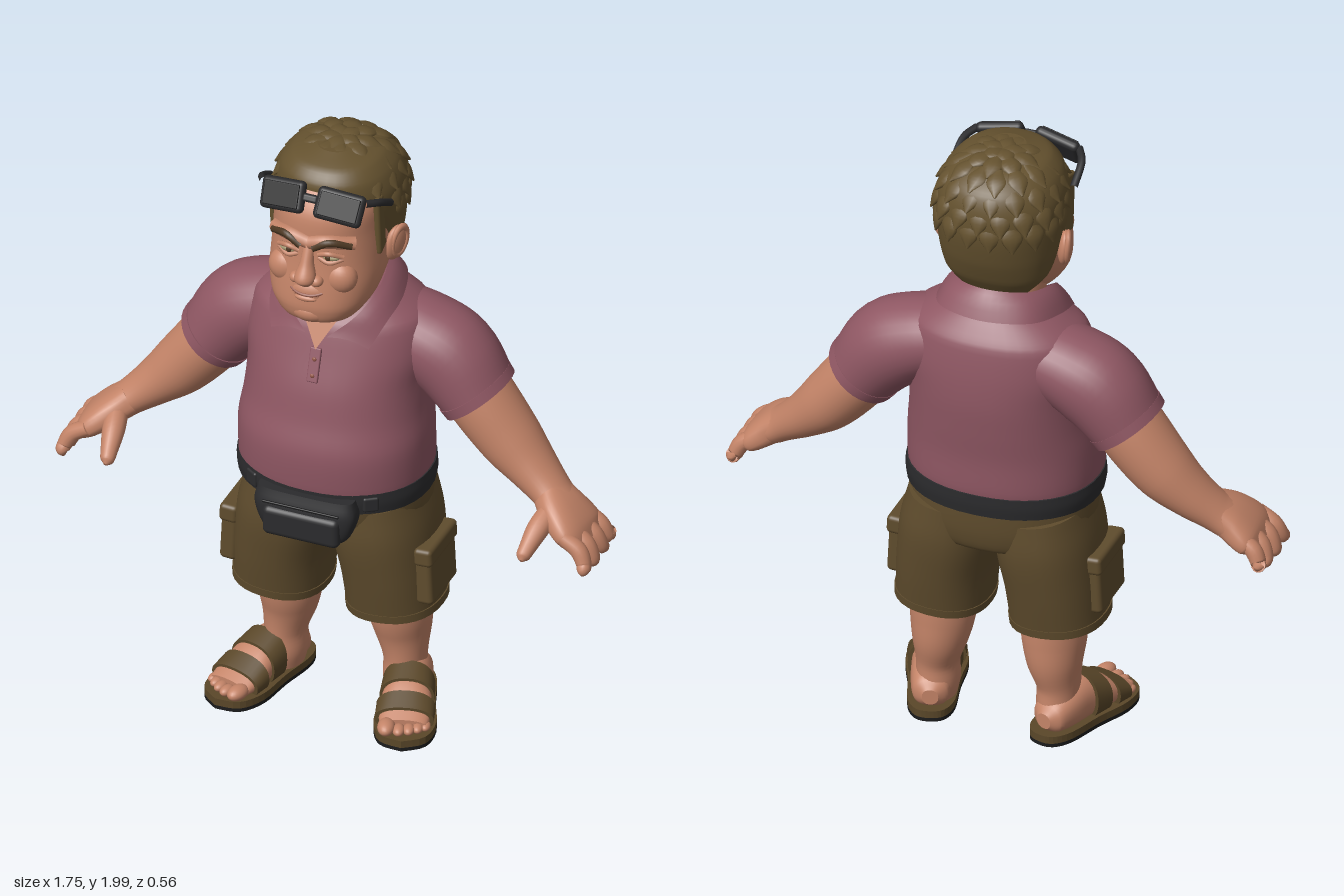
import * as THREE from 'three';
import { mergeGeometries } from 'three/addons/utils/BufferGeometryUtils.js';
import { RoundedBoxGeometry } from 'three/addons/geometries/RoundedBoxGeometry.js';

const X = new THREE.Vector3(1, 0, 0), Y = new THREE.Vector3(0, 1, 0), Z = new THREE.Vector3(0, 0, 1);
const V = (x, y, z) => new THREE.Vector3(x, y, z);

// Smooth closed surface through sections [x, y, z, halfWidth, halfDepth]
function loft(secs, { p = 2, ref = Z, axis = null, n = 32, m = 5 } = {}) {
  const path = new THREE.CatmullRomCurve3(secs.map(s => V(s[0], s[1], s[2])));
  const size = new THREE.CatmullRomCurve3(secs.map((s, i) => V(s[3], s[4], i * 0.05)));
  const rows = (secs.length - 1) * m, pos = [], idx = [], centres = [];
  const pw = v => Math.sign(v) * Math.pow(Math.abs(v), 2 / p);
  for (let i = 0; i <= rows; i++) {
    const t = i / rows, c = path.getPoint(t), r = size.getPoint(t);
    const T = axis || path.getTangent(t);
    const N = T.clone().cross(ref).normalize(), B = N.clone().cross(T);
    centres.push(c);
    for (let j = 0; j < n; j++) {
      const a = j / n * Math.PI * 2;
      const q = c.clone().addScaledVector(N, r.x * pw(Math.cos(a))).addScaledVector(B, r.y * pw(Math.sin(a)));
      pos.push(q.x, q.y, q.z);
    }
  }
  for (let i = 0; i < rows; i++) for (let j = 0; j < n; j++) {
    const a = i * n + j, b = i * n + (j + 1) % n;
    idx.push(a, a + n, b, a + n, b + n, b);
  }
  // flat caps with their own corners keep the rim sharp
  for (const row of [0, rows]) {
    const k = pos.length / 3;
    pos.push(...pos.slice(row * n * 3, (row + 1) * n * 3), ...centres[row].toArray());
    for (let j = 0; j < n; j++) {
      const a = k + j, b = k + (j + 1) % n;
      row ? idx.push(k + n, b, a) : idx.push(k + n, a, b);
    }
  }
  const g = new THREE.BufferGeometry();
  g.setAttribute('position', new THREE.Float32BufferAttribute(pos, 3));
  g.setIndex(idx);
  g.computeVertexNormals();
  return g;
}
const upright = (secs, p = 2.2) => loft(secs.map(([y, z, a, b]) => [0, y, z, a, b]), { p, axis: Y, n: 40 });
const flip = (s, secs) => secs.map(([x, ...rest]) => [x * s, ...rest]);
const tube = (pts, r) => new THREE.TubeGeometry(new THREE.CatmullRomCurve3(pts.map(q => V(...q))), 16, r, 8);
const ball = (rx, ry, rz) => new THREE.SphereGeometry(1, 24, 16).scale(rx, ry, rz);
const box = (w, h, d, r = 0.01) => new RoundedBoxGeometry(w, h, d, 3, r);

export function createModel() {
  const model = new THREE.Group();
  const mat = (name, color, side = THREE.FrontSide) => {
    const m = new THREE.MeshStandardMaterial({ color, side });
    m.name = name;
    return m;
  };
  const skin = mat('skin', 0xc48468), shirt = mat('shirt', 0x8f5763, THREE.DoubleSide);
  const khaki = mat('khaki', 0x5f4c2d), hair = mat('hair', 0x65522f), leather = mat('leather', 0x5a4729);
  const black = mat('black', 0x2b2b2d), dark = mat('dark rubber', 0x1b1b1c);
  const brown = mat('brow brown', 0x4d3823), lip = mat('lip', 0x95594a), eye = mat('eye', 0xa39a72);
  const add = (name, g, m, at = [0, 0, 0], rot = [0, 0, 0], parent = model) => {
    const mesh = new THREE.Mesh(g, m);
    mesh.name = name;
    mesh.position.set(...at);
    mesh.rotation.set(...rot);
    parent.add(mesh);
    return mesh;
  };

  // Torso, belt and pouch
  add('shirtBody', upright([[0.84, -0.01, 0.29, 0.232], [0.88, -0.012, 0.3, 0.25], [1.0, -0.012, 0.3, 0.253],
    [1.1, -0.03, 0.288, 0.245], [1.2, -0.045, 0.284, 0.237], [1.3, -0.06, 0.295, 0.217],
    [1.4, -0.07, 0.275, 0.19], [1.45, -0.075, 0.21, 0.15], [1.49, -0.07, 0.14, 0.12]]), shirt);
  add('belt', upright([[0.81, -0.015, 0.302, 0.248], [0.845, -0.015, 0.307, 0.252], [0.88, -0.015, 0.304, 0.252]]), black);
  add('pouch', upright([[0.7, 0.215, 0.1, 0.03], [0.735, 0.22, 0.14, 0.048], [0.81, 0.22, 0.165, 0.053],
    [0.865, 0.22, 0.155, 0.038]], 3.5), black);
  add('pouchPocket', box(0.25, 0.1, 0.05, 0.02), black, [0, 0.765, 0.258]);
  add('pouchZip', box(0.25, 0.008, 0.008, 0.003), dark, [0, 0.83, 0.273]);
  add('placket', box(0.036, 0.11, 0.012, 0.004), shirt, [0, 1.285, 0.165], [-0.32, 0, 0]);
  for (const y of [1.255, 1.305])
    add('button', ball(0.007, 0.007, 0.004), lip, [0, y, 0.172 - (y - 1.285) * 0.33]);

  // Neck and open neckline
  add('neck', loft([[0, 1.36, -0.04, 0.12, 0.12], [0, 1.45, -0.02, 0.118, 0.125], [0, 1.56, 0, 0.125, 0.12]]), skin);
  const vee = new THREE.BufferGeometry();
  vee.setAttribute('position', new THREE.Float32BufferAttribute(
    [0, 1.335, 0.158, 0.055, 1.43, 0.118, -0.055, 1.43, 0.118], 3));
  vee.computeVertexNormals();
  add('neckline', vee, skin);

  // Collar: a folded band between an upper and a lower edge, running round the back
  const half = [[[0.035, 1.385, 0.152], [0.16, 1.355, 0.122]], [[0.11, 1.45, 0.1], [0.19, 1.42, 0.06]],
    [[0.148, 1.515, 0], [0.2, 1.455, -0.05]], [[0.11, 1.55, -0.13], [0.15, 1.48, -0.185]]];
  const mirrorHalf = half.map(e => e.map(([x, y, z]) => [-x, y, z])).reverse();
  const edges = [...half, [[0, 1.565, -0.18], [0, 1.485, -0.235]], ...mirrorHalf];
  const [upper, lower] = [0, 1].map(k => new THREE.CatmullRomCurve3(edges.map(e => V(...e[k]))));
  const collar = new THREE.PlaneGeometry(1, 1, 48, 4), cp = collar.attributes.position;
  for (let i = 0; i < cp.count; i++) {
    const u = cp.getX(i) + 0.5, v = 0.5 - cp.getY(i);
    const q = upper.getPoint(u).lerp(lower.getPoint(u), v);
    const bulge = 0.012 * Math.sin(v * Math.PI);
    cp.setXYZ(i, q.x * (1 + bulge), q.y + bulge, q.z);
  }
  // the band runs from the model's left round the back, so turn its faces outward
  const ci = collar.index;
  for (let i = 0; i < ci.count; i += 3) {
    const a = ci.getX(i);
    ci.setX(i, ci.getX(i + 1));
    ci.setX(i + 1, a);
  }
  collar.computeVertexNormals();
  add('collar', collar, shirt);

  // Shorts seat
  add('shortsSeat', upright([[0.63, -0.04, 0.1, 0.1], [0.67, -0.04, 0.25, 0.195], [0.73, -0.035, 0.288, 0.217],
    [0.8, -0.03, 0.292, 0.226], [0.85, -0.025, 0.29, 0.23]]), khaki);
  add('fly', box(0.03, 0.1, 0.008, 0.003), khaki, [0, 0.73, 0.18]);

  for (const s of [1, -1]) {
    // Sleeve and arm
    add('sleeve', loft(flip(s, [[0.12, 1.34, -0.1, 0.11, 0.13], [0.25, 1.3, -0.1, 0.13, 0.142],
      [0.34, 1.25, -0.1, 0.14, 0.142], [0.43, 1.14, -0.095, 0.118, 0.132]])), shirt);
    add('sleeveHem', loft(flip(s, [[0.414, 1.16, -0.095, 0.124, 0.137], [0.434, 1.134, -0.095, 0.121, 0.135]])), shirt);
    add('arm', loft(flip(s, [[0.38, 1.2, -0.095, 0.1, 0.11], [0.44, 1.12, -0.095, 0.104, 0.114],
      [0.54, 1.0, -0.09, 0.094, 0.102], [0.62, 0.925, -0.075, 0.072, 0.085], [0.685, 0.872, -0.055, 0.057, 0.074],
      [0.72, 0.845, -0.04, 0.053, 0.078]])), skin);
    add('palm', loft(flip(s, [[0.69, 0.87, -0.05, 0.05, 0.07], [0.74, 0.835, -0.025, 0.05, 0.095],
      [0.79, 0.795, -0.01, 0.042, 0.11], [0.825, 0.765, -0.005, 0.02, 0.09]]), { p: 2.5 }), skin);
    [[-0.088, -0.108, 0.72], [-0.034, -0.05, 0.698], [0.026, 0.025, 0.695], [0.078, 0.1, 0.705]].forEach(([z0, z1, y]) =>
      add('finger', loft(flip(s, [[0.775, 0.81, z0, 0.024, 0.026], [0.828, 0.775, z0, 0.027, 0.028],
        [0.85, 0.735, (z0 + z1) / 2, 0.023, 0.025], [0.852, y + 0.018, z1, 0.02, 0.021],
        [0.848, y, z1, 0.006, 0.006]]), { n: 14, axis: null }), skin));
    add('thumb', loft(flip(s, [[0.71, 0.85, 0.01, 0.035, 0.035], [0.695, 0.82, 0.075, 0.035, 0.035],
      [0.685, 0.785, 0.13, 0.027, 0.027], [0.68, 0.765, 0.16, 0.021, 0.021], [0.68, 0.757, 0.173, 0.006, 0.006]]),
    { n: 14, ref: X }), skin);

    // Shorts leg with cargo pocket
    add('shortsLeg', loft(flip(s, [[0.14, 0.78, -0.04, 0.14, 0.2], [0.155, 0.66, -0.04, 0.155, 0.205],
      [0.175, 0.52, -0.04, 0.15, 0.185], [0.185, 0.385, -0.04, 0.147, 0.16]]), { p: 2.3 }), khaki);
    add('shortsHem', loft(flip(s, [[0.184, 0.405, -0.04, 0.151, 0.166], [0.186, 0.378, -0.04, 0.15, 0.162]]), { p: 2.3 }), khaki);
    add('cargoPocket', box(0.055, 0.18, 0.2, 0.015), khaki, [s * 0.318, 0.54, -0.02], [0, 0, s * 0.05]);
    add('pocketFlap', box(0.06, 0.06, 0.212, 0.014), khaki, [s * 0.318, 0.617, -0.02], [0, 0, s * 0.05]);
    add('beltBuckle', box(0.05, 0.05, 0.03, 0.008), black, [s * 0.19, 0.845, 0.18], [0, s * 0.6, 0]);

    // Lower leg
    add('lowerLeg', loft(flip(s, [[0.18, 0.45, -0.07, 0.1, 0.115], [0.18, 0.33, -0.077, 0.1, 0.109],
      [0.185, 0.25, -0.085, 0.087, 0.098], [0.195, 0.16, -0.08, 0.066, 0.08], [0.195, 0.09, -0.08, 0.066, 0.082],
      [0.2, 0.04, -0.08, 0.06, 0.075]])), skin);

    // Foot and sandal, turned outward
    const foot = new THREE.Group();
    foot.name = 'sandalFoot';
    foot.position.set(s * 0.24, 0, 0.005);
    foot.rotation.y = s * 0.3;
    model.add(foot);
    const outline = new THREE.Shape();
    outline.setFromPoints(new THREE.SplineCurve([[0, -0.218], [0.07, -0.185], [0.095, -0.1], [0.08, 0.02], [0.072, 0.14],
      [0.045, 0.2], [0, 0.215], [-0.045, 0.2], [-0.072, 0.14], [-0.08, 0.02], [-0.095, -0.1], [-0.07, -0.185], [0, -0.218]]
      .map(q => new THREE.Vector2(...q))).getPoints(48).slice(0, -1));
    const slab = d => new THREE.ExtrudeGeometry(outline, { depth: d, bevelEnabled: false }).rotateX(-Math.PI / 2);
    add('outsole', slab(0.012), dark, [0, 0, 0], [0, 0, 0], foot);
    add('sole', slab(0.024), leather, [0, 0.012, 0], [0, 0, 0], foot);
    const along = secs => loft(secs.map(([z, y, a, b]) => [0, y, z, a, b]), { ref: Y, axis: Z, p: 2.3 });
    add('foot', along([[-0.19, 0.07, 0.025, 0.025], [-0.165, 0.075, 0.055, 0.05], [-0.1, 0.085, 0.066, 0.07],
      [-0.03, 0.088, 0.068, 0.075], [0.04, 0.078, 0.075, 0.06], [0.1, 0.062, 0.08, 0.04],
      [0.155, 0.05, 0.072, 0.022]]), skin, [0, 0, 0], [0, 0, 0], foot);
    add('toeStrap', along([[0.07, 0.066, 0.09, 0.058], [0.125, 0.055, 0.09, 0.042]]), leather, [0, 0, 0], [0, 0, 0], foot);
    add('instepStrap', along([[-0.025, 0.087, 0.08, 0.084], [0.04, 0.077, 0.084, 0.07]]), leather, [0, 0, 0], [0, 0, 0], foot);
    [[-0.05, 0.17, 0.027], [-0.012, 0.175, 0.019], [0.018, 0.168, 0.018], [0.044, 0.156, 0.017], [0.066, 0.142, 0.016]]
      .forEach(([x, z, r]) => add('toe', ball(r, r * 0.85, r * 1.5), skin, [s * x, 0.036 + r * 0.7, z], [0, 0, 0], foot));

    // Paired face parts
    add('ear', ball(0.02, 0.06, 0.042), skin, [s * 0.188, 1.665, -0.018], [-0.15, s * -0.35, s * -0.12]);
    add('earRim', new THREE.TorusGeometry(0.034, 0.009, 8, 24).scale(0.9, 1.4, 1).rotateY(Math.PI / 2), skin,
      [s * 0.2, 1.672, -0.022], [-0.15, s * -0.35, s * -0.12]);
    add('eyeball', ball(0.031, 0.013, 0.018), eye, [s * 0.067, 1.712, 0.196]);
    add('iris', ball(0.009, 0.01, 0.005), brown, [s * 0.064, 1.713, 0.212]);
    add('upperLid', tube([[s * 0.032, 1.716, 0.208], [s * 0.067, 1.728, 0.212], [s * 0.105, 1.712, 0.188]], 0.008), skin);
    add('lowerLid', tube([[s * 0.032, 1.706, 0.207], [s * 0.067, 1.695, 0.209], [s * 0.105, 1.706, 0.188]], 0.008), skin);
    add('browRidge', tube([[0, 1.752, 0.206], [s * 0.06, 1.765, 0.202], [s * 0.13, 1.752, 0.158]], 0.022), skin);
    add('eyebrow', tube([[s * 0.02, 1.744, 0.222], [s * 0.068, 1.77, 0.217], [s * 0.128, 1.752, 0.178]], 0.012), brown);
    add('cheek', ball(0.055, 0.055, 0.045), skin, [s * 0.088, 1.632, 0.172]);
    add('nostril', ball(0.02, 0.018, 0.022), skin, [s * 0.034, 1.632, 0.225]);
    add('sideburn', box(0.022, 0.2, 0.062, 0.01), hair, [s * 0.168, 1.775, 0.057], [0.08, s * 0.15, 0]);

    // Sunglasses pushed up on the forehead
    add('lensFrame', box(0.15, 0.1, 0.034, 0.016), black, [s * 0.092, 1.888, 0.185], [-0.5, s * 0.2, s * -0.06]);
    add('lens', box(0.124, 0.074, 0.008, 0.003), dark, [s * 0.094, 1.896, 0.2], [-0.5, s * 0.2, s * -0.06]);
    add('glassesArm', tube([[s * 0.165, 1.905, 0.165], [s * 0.19, 1.89, 0.12], [s * 0.196, 1.845, 0.04]], 0.012), black);
  }
  add('glassesBridge', box(0.05, 0.025, 0.025, 0.008), black, [0, 1.9, 0.192], [-0.5, 0, 0]);

  // Head and face
  add('head', upright([[1.452, 0.1, 0.07, 0.07], [1.48, 0.1, 0.12, 0.122], [1.53, 0.08, 0.156, 0.157],
    [1.6, 0.045, 0.174, 0.185], [1.68, 0.02, 0.175, 0.198], [1.76, 0.005, 0.173, 0.205], [1.84, 0, 0.172, 0.198],
    [1.91, -0.02, 0.148, 0.168], [1.955, -0.03, 0.08, 0.1]], 2.3), skin);
  add('nose', loft([[0, 1.745, 0.203, 0.017, 0.017], [0, 1.69, 0.22, 0.021, 0.026], [0, 1.64, 0.237, 0.033, 0.035],
    [0, 1.61, 0.228, 0.012, 0.012]], { axis: V(0, -1, 0) }), skin);
  add('muzzle', ball(0.078, 0.05, 0.055), skin, [0, 1.582, 0.184]);
  add('mouth', tube([[-0.06, 1.592, 0.216], [-0.03, 1.583, 0.233], [0, 1.581, 0.239], [0.03, 1.583, 0.233], [0.06, 1.592, 0.216]], 0.005), lip);
  add('lowerLip', ball(0.036, 0.011, 0.014), skin, [0, 1.567, 0.231]);
  add('chin', ball(0.07, 0.042, 0.055), skin, [0, 1.507, 0.184]);

  // Hair cap with overlapping locks
  add('hairCap', upright([[1.54, -0.1, 0.11, 0.055], [1.6, -0.085, 0.162, 0.11], [1.68, -0.07, 0.183, 0.157],
    [1.78, -0.055, 0.194, 0.193], [1.86, -0.045, 0.196, 0.2], [1.92, -0.035, 0.174, 0.188],
    [1.96, -0.025, 0.135, 0.145], [1.984, -0.02, 0.06, 0.07]]), hair);
  const lock = loft([[0, -0.008, -0.045, 0.012, 0.006], [0, 0, 0, 0.034, 0.014], [0, 0.008, 0.05, 0.003, 0.003]],
    { ref: Y, axis: Z, n: 10, m: 4 });
  const locks = [];
  [[0.15, 5], [0.42, 9], [0.7, 13], [0.98, 16], [1.28, 18], [1.56, 18]].forEach(([phi, count], row) => {
    for (let k = 0; k < count; k++) {
      const a = (k + (row % 2) * 0.5) / count * Math.PI * 2;
      const d = V(Math.sin(phi) * Math.sin(a), Math.cos(phi), Math.sin(phi) * Math.cos(a));
      const r = Math.pow(Math.abs(d.x) ** 2.5 + Math.abs(d.y) ** 2.5 + Math.abs(d.z) ** 2.5, -1 / 2.5);
      const at = V(d.x * r * 0.19, 1.79 + d.y * r * 0.19, -0.045 + d.z * r * 0.196);
      if ((at.z > 0.02 && at.y < 1.87) || (at.z > 0.1 && at.y < 1.93)) continue;
      const t = V(Math.cos(phi) * Math.sin(a), -Math.sin(phi), Math.cos(phi) * Math.cos(a));
      const basis = new THREE.Matrix4().makeBasis(d.clone().cross(t), d, t).setPosition(at);
      locks.push(lock.clone().applyMatrix4(basis));
    }
  });
  add('hairLocks', mergeGeometries(locks), hair);
  return model;
}
